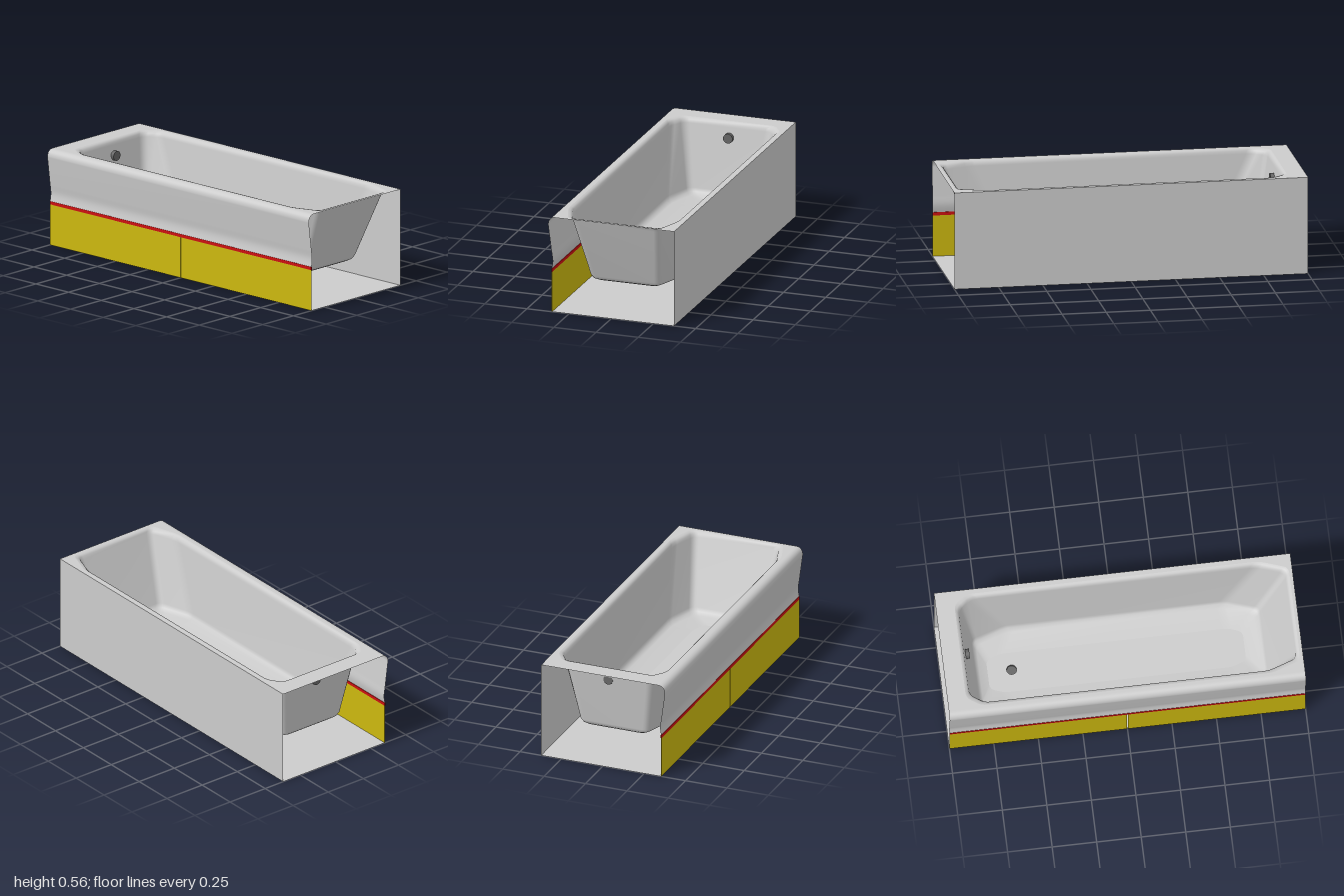
import * as THREE from 'three';

const CX = 0.0125; // the basin sits slightly off centre
const RIM_Y = 0.556;

const material = (color = 0xcccccc) =>
  new THREE.MeshStandardMaterial({ color, side: THREE.DoubleSide });

// Chamfered rectangle in x/z with softened corners.
// half: half width; back, front: z ends; cuts: [x, z] chamfer at each end
function outline({ half, back, front, backCut, frontCut }) {
  const [bx, bz] = backCut, [fx, fz] = frontCut;
  const right = [
    [half - bx, back], [half, back + bz], [half, front - fz], [half - fx, front],
  ];
  const corners = [...right, ...right.map(([x, z]) => [-x, z]).reverse()]
    .map(([x, z]) => new THREE.Vector2(x + CX, z));
  const n = corners.length, points = [], radius = 0.03;
  corners.forEach((p, i) => {
    const toward = (q) => q.clone().sub(p).setLength(radius).add(p);
    const curve = new THREE.QuadraticBezierCurve(
      toward(corners[(i + n - 1) % n]), p, toward(corners[(i + 1) % n]));
    points.push(...curve.getPoints(4));
  });
  return points;
}

// Skin through a stack of closed loops
function loft(levels) {
  const loops = levels.map(outline), n = loops[0].length;
  const positions = [], index = [];
  loops.forEach((loop, k) => loop.forEach((p, i) => {
    positions.push(p.x, levels[k].y, p.y);
    if (k === 0) return;
    const j = (i + 1) % n, a = (k - 1) * n, b = k * n;
    index.push(a + i, a + j, b + i, a + j, b + j, b + i);
  }));
  const geometry = new THREE.BufferGeometry();
  geometry.setAttribute('position', new THREE.Float32BufferAttribute(positions, 3));
  geometry.setIndex(index);
  geometry.computeVertexNormals();
  return geometry;
}

// Horizontal sheet from x/z points, facing up, with an optional hole
function sheet(points, y, hole) {
  const flip = (list) => list.map((p) => new THREE.Vector2(p.x, -p.y));
  const shape = new THREE.Shape(flip(points));
  if (hole) shape.holes.push(new THREE.Path(flip(hole)));
  return new THREE.ShapeGeometry(shape).rotateX(-Math.PI / 2).translate(0, y, 0);
}

const rectangle = (x0, x1) => [[x0, -1], [x1, -1], [x1, 1], [x0, 1]]
  .map(([x, z]) => new THREE.Vector2(x, z));

export function createModel() {
  const group = new THREE.Group();
  const grey = material(), dark = material(0x666666);
  const yellow = material(0xccb80f), red = material(0xcc1010);
  const add = (name, geometry, mat, x = 0, y = 0, z = 0) => {
    const mesh = new THREE.Mesh(geometry, mat);
    mesh.name = name;
    mesh.position.set(x, y, z);
    group.add(mesh);
    return mesh;
  };

  // Basin: flared lip, sloping walls, rounded foot and dished floor
  const lip = [[0.556, 0.024], [0.553, 0.013], [0.543, 0.004], [0.525, 0]].map(([y, o]) => ({
    y, half: 0.308 + o, back: -0.872 - o, front: 0.957 + o,
    backCut: [0.055, 0.08], frontCut: [0.055, 0.16],
  }));
  const foot = [
    { y: 0.17, half: 0.2625, back: -0.81, front: 0.81, backCut: [0.06, 0.19], frontCut: [0.06, 0.19] },
    { y: 0.15, half: 0.2535, back: -0.802, front: 0.797, backCut: [0.063, 0.19], frontCut: [0.063, 0.18] },
    { y: 0.137, half: 0.2325, back: -0.785, front: 0.77, backCut: [0.06, 0.18], frontCut: [0.06, 0.17] },
    { y: 0.122, half: 0.115, back: -0.74, front: 0.7, backCut: [0.03, 0.08], frontCut: [0.03, 0.08] },
  ];
  add('basin', loft([...lip, ...foot]), grey);

  // Basin floor with the drain opening
  const drainX = 0.027, drainZ = -0.605, drainR = 0.028;
  const drainHole = new THREE.EllipseCurve(drainX, drainZ, drainR, drainR)
    .getPoints(24).slice(0, -1);
  add('basinFloor', sheet(outline(foot[3]), 0.122, drainHole), grey);

  // Drain cup and overflow plug
  add('drainWall', new THREE.CylinderGeometry(drainR, drainR, 0.014, 24, 1, true), dark,
    drainX, 0.115, drainZ);
  add('drainBase', new THREE.CircleGeometry(drainR, 24).rotateX(-Math.PI / 2), dark,
    drainX, 0.108, drainZ);
  add('overflow', new THREE.CylinderGeometry(0.028, 0.028, 0.022, 24).rotateX(Math.PI / 2), dark,
    0.025, 0.467, -0.854);

  // Flat rim around the basin
  add('rim', sheet(rectangle(-0.335, 0.372), RIM_Y, outline(lip[0])), grey);

  // Plain side wall and ground sheet
  add('sideWall', new THREE.PlaneGeometry(2, RIM_Y).rotateY(Math.PI / 2), grey, 0.372, RIM_Y / 2, 0);
  add('baseSheet', sheet(rectangle(-0.352, 0.372), 0), grey);

  // Curved apron: rolls over the rim edge, tapers in, then kicks out at the foot
  const profile = new THREE.CurvePath();
  const v = (x, y) => new THREE.Vector3(x, y, 0);
  profile.add(new THREE.CubicBezierCurve3(
    v(-0.335, RIM_Y), v(-0.358, RIM_Y), v(-0.375, 0.54), v(-0.374, 0.51)));
  profile.add(new THREE.LineCurve3(v(-0.374, 0.51), v(-0.353, 0.35)));
  profile.add(new THREE.CubicBezierCurve3(
    v(-0.353, 0.35), v(-0.347, 0.31), v(-0.342, 0.3), v(-0.353, 0.253)));
  const line = profile.getPoints(10);
  const apron = new THREE.PlaneGeometry(1, 1, 1, line.length - 1);
  const pos = apron.attributes.position;
  for (let i = 0; i < pos.count; i++) {
    const p = line[Math.floor(i / 2)];
    pos.setXYZ(i, p.x, p.y, i % 2 ? 1 : -1);
  }
  apron.computeVertexNormals();
  add('apron', apron, grey);

  // Coloured trim strip and two lower panels
  add('trimStrip', new THREE.BoxGeometry(0.005, 0.018, 2), red, -0.3525, 0.244, 0);
  for (const side of [-1, 1]) {
    add(side < 0 ? 'backLowerPanel' : 'frontLowerPanel',
      new THREE.BoxGeometry(0.003, 0.235, 0.998), yellow, -0.352, 0.1175, side * 0.501);
  }
  return group;
}
